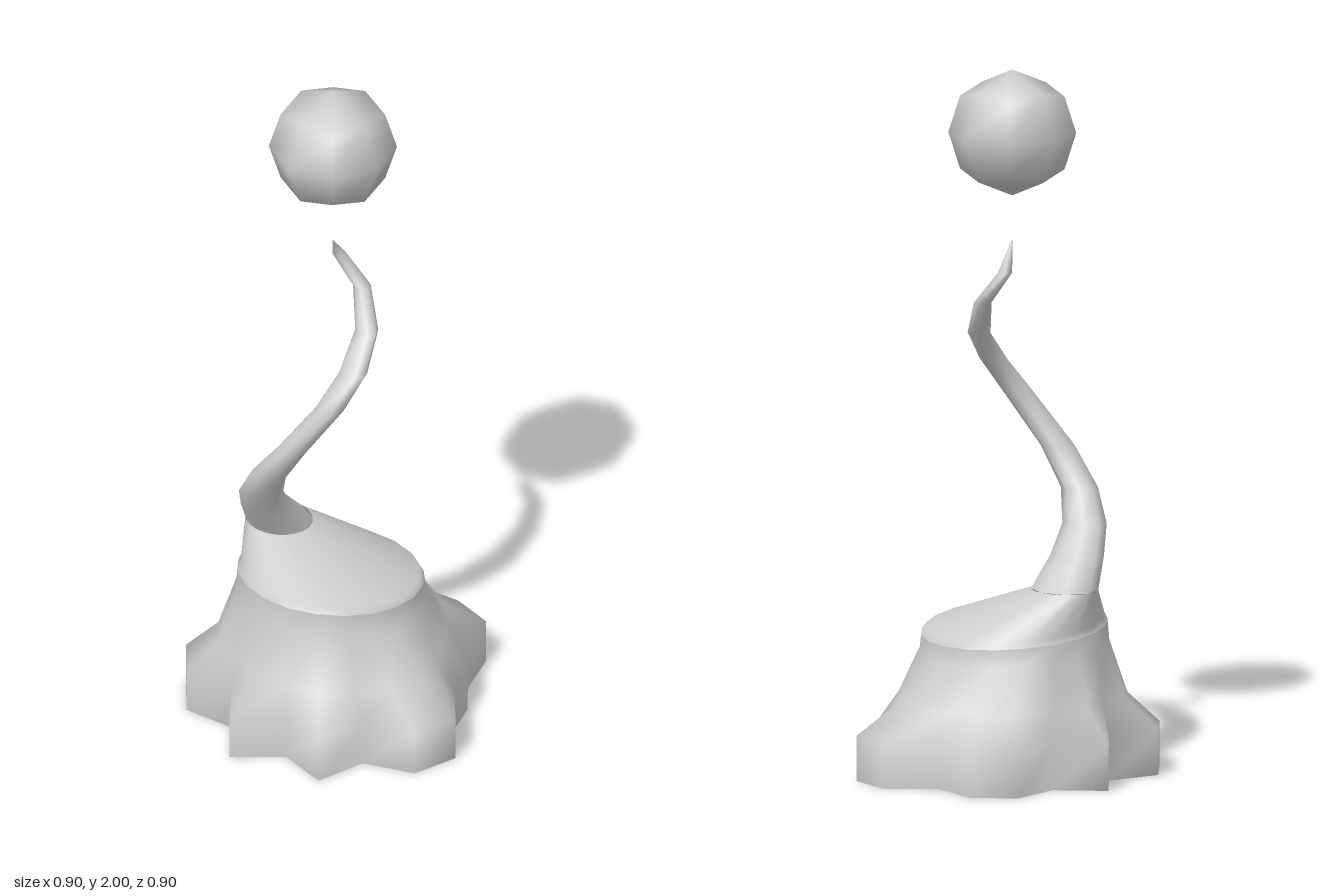
import * as THREE from 'three';

const material = new THREE.MeshStandardMaterial({ color: 0xcccccc, side: THREE.DoubleSide });

// Plan of the root flare as [x, z], walked from the back towards +x
const plan = [
  [0, -0.45], [0.11, -0.335], [0.265, -0.365], [0.36, -0.265], [0.335, -0.11],
  [0.447, 0], [0.425, 0.135], [0.285, 0.205], [0.205, 0.285], [0.105, 0.335],
  [0, 0.447], [-0.14, 0.425], [-0.205, 0.285], [-0.36, 0.265], [-0.335, 0.11],
  [-0.45, 0], [-0.335, -0.11], [-0.36, -0.265], [-0.265, -0.365], [-0.105, -0.335],
];
const angles = plan.map(([x, z]) => Math.atan2(z, x));

// Skin a list of rings that all have the same number of points
function loft(name, rings) {
  const n = rings[0].length;
  const index = [];
  for (let i = 0; i < rings.length - 1; i++) {
    for (let j = 0; j < n; j++) {
      const k = (j + 1) % n;
      const a = i * n + j, b = i * n + k, c = a + n, d = b + n;
      index.push(a, c, b, b, c, d);
    }
  }
  const geometry = new THREE.BufferGeometry();
  geometry.setAttribute('position', new THREE.Float32BufferAttribute(rings.flat(2), 3));
  geometry.setIndex(index);
  geometry.computeVertexNormals();
  const mesh = new THREE.Mesh(geometry, material);
  mesh.name = name;
  return mesh;
}

// Elliptical ring; tilt lowers it towards +x
function ring(x, y, z, rx, rz, tilt = 0, sides = angles) {
  return sides.map((a) => {
    const c = Math.cos(a);
    return [x + rx * c, y - tilt * c, z + rz * Math.sin(a)];
  });
}

export function createModel() {
  const group = new THREE.Group();

  // Hollow stump: star-shaped flare narrowing to a round, tilted rim
  const star = (y) => plan.map(([x, z]) => [x, y, z]);
  const shoulder = plan.map(([x, z], i) => {
    const r = 0.325 + 0.3 * (Math.hypot(x, z) - 0.4);
    return [r * Math.cos(angles[i]) - 0.01, 0.215, r * Math.sin(angles[i]) - 0.015];
  });
  const rim = ring(-0.018, 0.41, -0.035, 0.262, 0.265, 0.025);
  group.add(loft('stump', [
    star(0), star(0.13), shoulder,
    ring(-0.018, 0.355, -0.035, 0.268, 0.27, 0.015), rim,
  ]));

  // Sloping top that sweeps up into the root of the spire
  const root = ring(-0.06, 0.535, -0.2, 0.09, 0.1);
  const inner = ring(-0.018, 0.427, -0.037, 0.252, 0.255, 0.025);
  group.add(loft('stumpTop', [rim, inner, root]));

  // Twisting spire: x, y, z, half width in x, half depth in z
  const stations = [
    [-0.06, 0.535, -0.2, 0.09, 0.1],
    [-0.13, 0.62, -0.175, 0.073, 0.078],
    [-0.185, 0.7, -0.145, 0.06, 0.065],
    [-0.22, 0.79, -0.085, 0.05, 0.055],
    [-0.21, 0.9, -0.005, 0.05, 0.045],
    [-0.14, 1.05, 0.083, 0.043, 0.042],
    [-0.065, 1.15, 0.103, 0.035, 0.043],
    [0.02, 1.24, 0.07, 0.03, 0.035],
    [0.062, 1.34, 0.008, 0.027, 0.023],
    [0.035, 1.43, -0.055, 0.02, 0.02],
    [-0.022, 1.51, -0.022, 0.002, 0.002],
  ];
  const eight = Array.from({ length: 8 }, (_, i) => (i - 2) * Math.PI / 4);
  group.add(loft('spire', stations.map((s) => ring(...s, 0, eight))));

  // Floating orb: a coarse cube pushed out to a sphere
  const geometry = new THREE.BoxGeometry(1, 1, 1, 2, 2, 2);
  const pos = geometry.attributes.position, normal = geometry.attributes.normal;
  const v = new THREE.Vector3();
  for (let i = 0; i < pos.count; i++) {
    v.fromBufferAttribute(pos, i).normalize();
    normal.setXYZ(i, v.x, v.y, v.z);
    pos.setXYZ(i, v.x * 0.18, v.y * 0.18, v.z * 0.18);
  }
  const orb = new THREE.Mesh(geometry, material);
  orb.name = 'orb';
  orb.position.set(-0.02, 1.82, -0.025);
  group.add(orb);

  return group;
}
